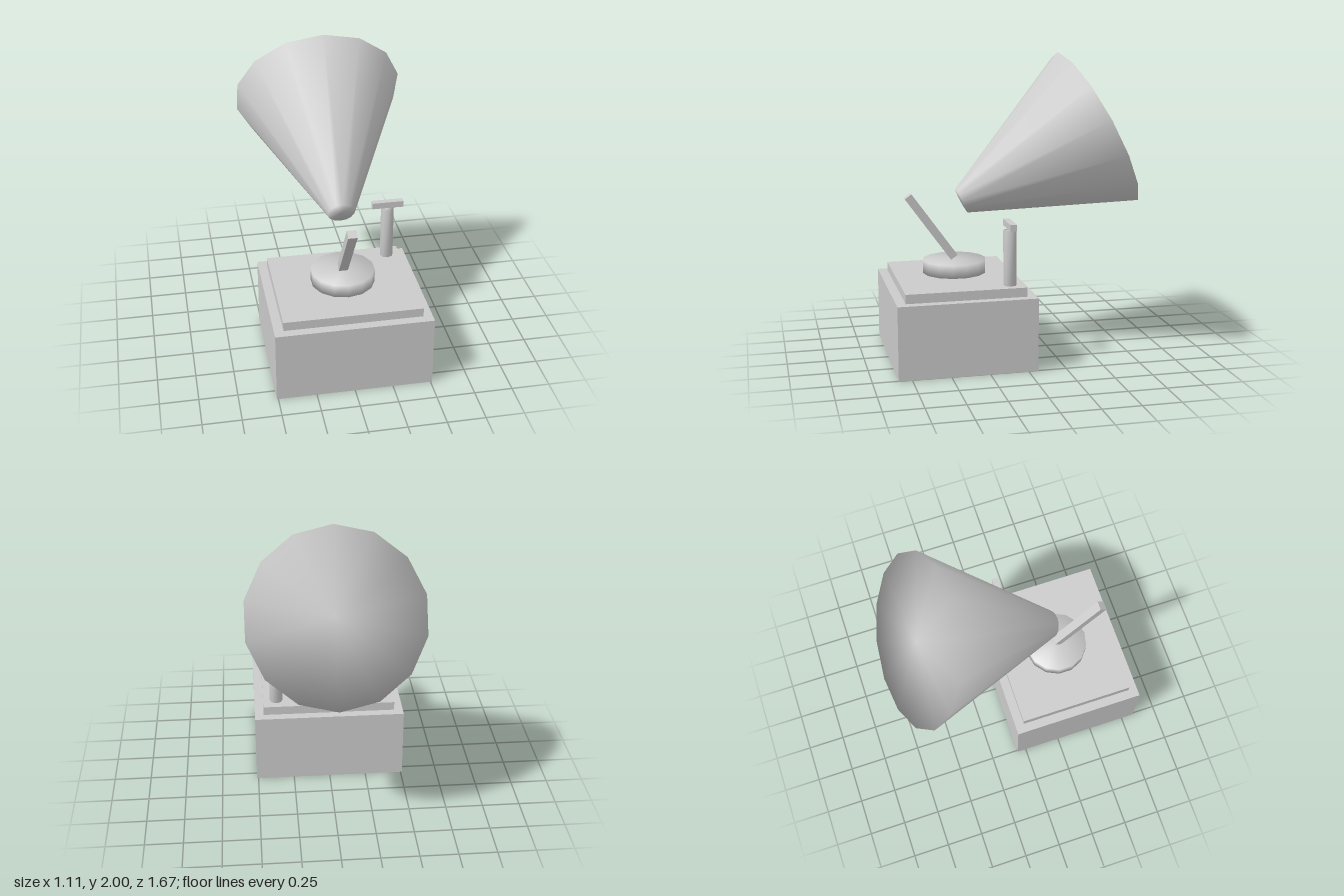
import * as THREE from 'three';
import { mergeVertices } from 'three/addons/utils/BufferGeometryUtils.js';

const material = new THREE.MeshStandardMaterial({ color: 0xcccccc });

export function createModel() {
  const model = new THREE.Group();
  model.name = 'gramophone';

  // Places a part by its centre, tilted about the x axis
  function add(name, geometry, x, y, z, tilt = 0) {
    const mesh = new THREE.Mesh(geometry, material);
    mesh.name = name;
    mesh.position.set(x, y, z);
    mesh.rotation.x = tilt;
    model.add(mesh);
  }

  const box = (w, h, d) => new THREE.BoxGeometry(w, h, d);

  // Closed cylinder shaded smoothly across its rims
  function softCylinder(top, bottom, height, sides) {
    const geometry = new THREE.CylinderGeometry(top, bottom, height, sides);
    geometry.deleteAttribute('normal');
    geometry.deleteAttribute('uv');
    const merged = mergeVertices(geometry);
    merged.computeVertexNormals();
    return merged;
  }

  // Cabinet with a stepped lid
  const cabinetZ = 0.387;
  add('cabinet', box(1.02, 0.48, 0.9), 0, 0.24, cabinetZ);
  add('lid', box(0.9, 0.06, 0.78), 0, 0.51, cabinetZ);

  // Turntable and the arm leaning forward from it
  add('turntable', softCylinder(0.21, 0.21, 0.087, 14), 0, 0.604, cabinetZ);
  add('arm', box(0.06, 0.516, 0.054), 0, 0.872, 0.541, 0.624);

  // Post with a crossbar hovering just above it
  add('post', softCylinder(0.044, 0.044, 0.36, 8), 0.36, 0.72, 0.09);
  add('crossbar', box(0.21, 0.042, 0.042), 0.36, 0.933, 0.09);

  // Horn widening upward and backward
  add('horn', softCylinder(0.568, 0.089, 1.018, 14), 0, 1.264, -0.12, -1.102);

  return model;
}
